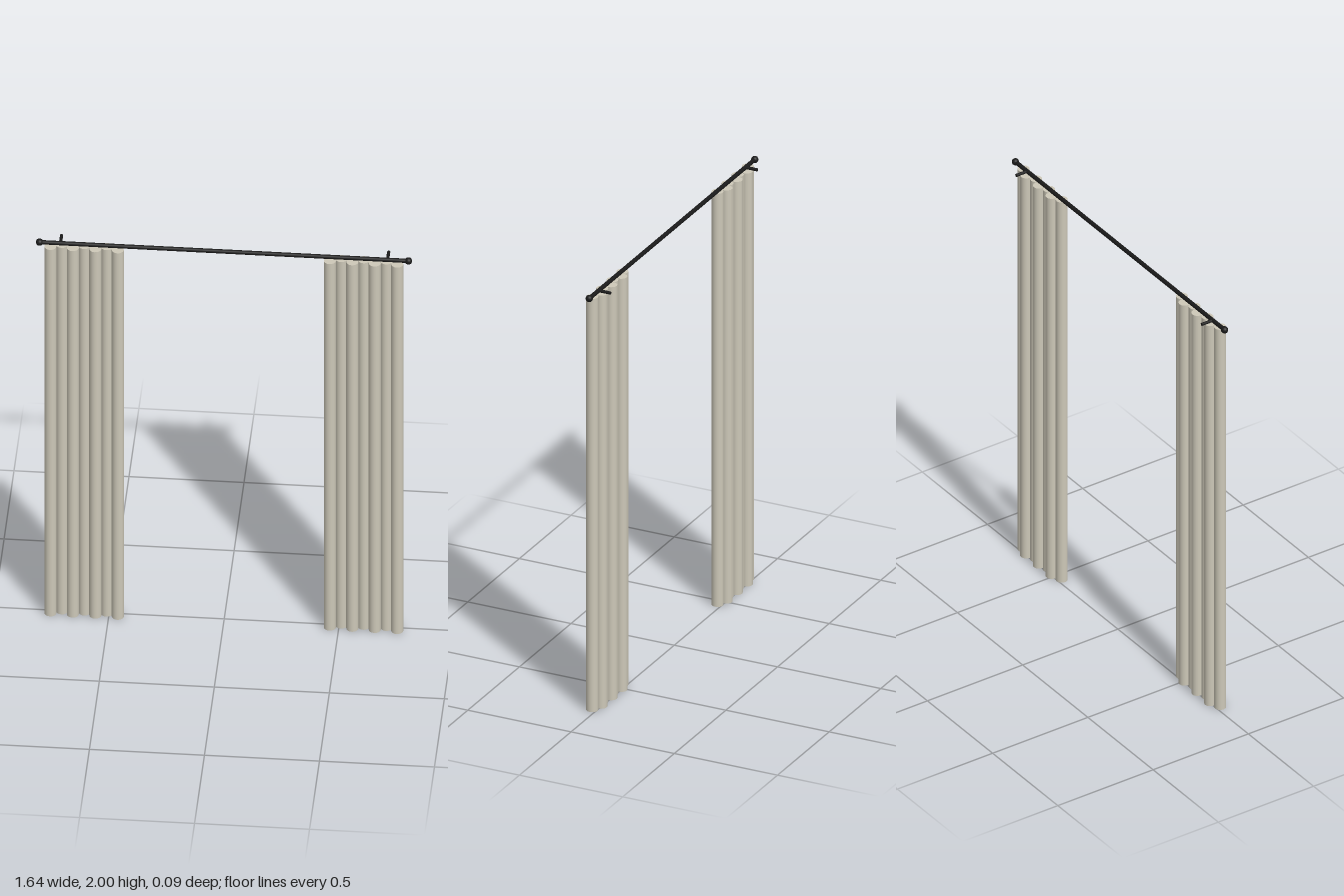
import * as THREE from 'three';

export function createModel() {
  const fabric = new THREE.MeshStandardMaterial({ color: 0xcdc8b8 });
  fabric.name = 'linen fabric';
  const metal = new THREE.MeshStandardMaterial({ color: 0x1a1a1a });
  metal.name = 'black metal';

  const group = new THREE.Group();
  group.name = 'curtains';
  const rodY = 1.984, rodZ = 0.011, curtainTop = 1.971, back = -0.0475;

  const add = (parent, name, geometry, material, x, y, z) => {
    const mesh = new THREE.Mesh(geometry, material);
    mesh.name = name;
    mesh.position.set(x, y, z);
    parent.add(mesh);
    return mesh;
  };

  // Horizontal rod
  const rod = new THREE.CylinderGeometry(0.0095, 0.0095, 1.6, 16).rotateZ(Math.PI / 2);
  add(group, 'rod', rod, metal, 0, rodY, rodZ);

  const finial = new THREE.SphereGeometry(0.016, 16, 12);
  const bracketLength = rodZ - back;
  const bracket = new THREE.CylinderGeometry(0.007, 0.007, bracketLength, 12).rotateX(Math.PI / 2);
  const fold = new THREE.CylinderGeometry(0.0265, 0.0265, curtainTop, 16);

  for (const [side, label] of [[1, 'left'], [-1, 'right']]) {
    // End knob and wall bracket
    add(group, label + 'Finial', finial, metal, side * 0.802, rodY, rodZ);
    add(group, label + 'Bracket', bracket, metal, side * 0.711, rodY, rodZ - bracketLength / 2);

    // Seven folds, alternating in front of and behind the rod
    const curtain = new THREE.Group();
    curtain.name = label + 'Curtain';
    for (let i = 0; i < 7; i++) {
      const z = rodZ + (i % 2 ? -0.0095 : 0.0095);
      add(curtain, 'fold', fold, fabric, side * (0.461 + i * 0.0488), curtainTop / 2, z);
    }
    group.add(curtain);
  }
  return group;
}
